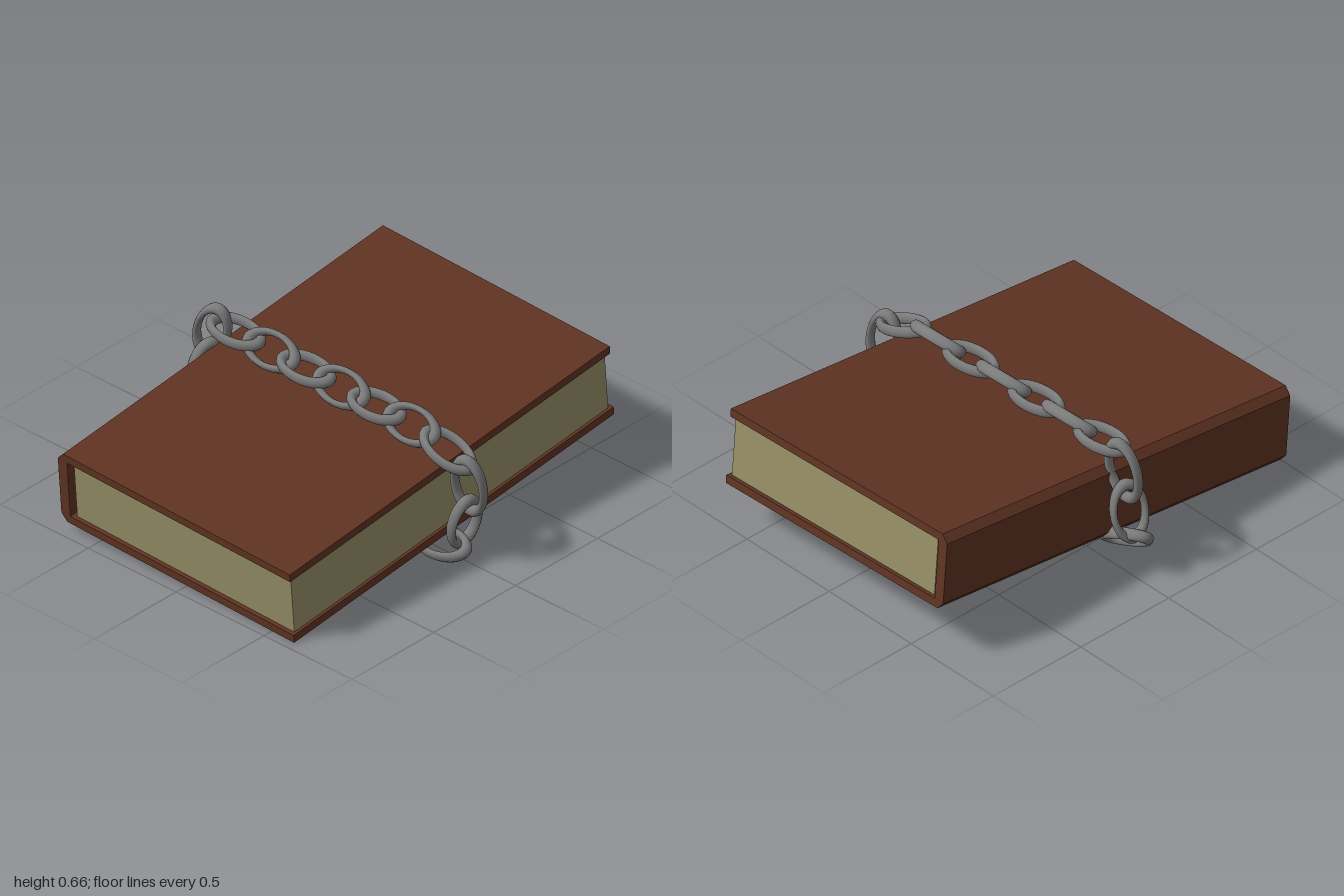
import * as THREE from 'three';

const leather = new THREE.MeshStandardMaterial({ color: 0x5f3322 });
const paper = new THREE.MeshStandardMaterial({ color: 0x958e66 });
const iron = new THREE.MeshStandardMaterial({ color: 0x7a7a7a });

// Closed book: C-shaped cover with a chamfered spine, around a page block
function makeBook() {
  const book = new THREE.Group();
  book.name = 'book';
  const length = 1.968;
  const profile = new THREE.Shape([
    [0.656, -0.18], [0.656, -0.142], [-0.61, -0.142], [-0.61, 0.142],
    [0.656, 0.142], [0.656, 0.18], [-0.63, 0.18], [-0.661, 0.145],
    [-0.661, -0.145], [-0.63, -0.18],
  ].map(([x, y]) => new THREE.Vector2(x, y)));
  const coverGeo = new THREE.ExtrudeGeometry(profile, { depth: length, bevelEnabled: false });
  coverGeo.translate(0, 0, -length / 2);
  const cover = new THREE.Mesh(coverGeo, leather);
  cover.name = 'cover';

  const pages = new THREE.Mesh(new THREE.BoxGeometry(1.23, 0.29, 1.93), paper);
  pages.name = 'pages';
  pages.position.x = 0.027;
  book.add(cover, pages);
  book.position.set(-0.02, 0.32, 0);
  book.rotation.set(0.113, 0, -0.035);
  return book;
}

// One oval link: a squashed ring, long along dir, its face turned to normal
const linkGeo = new THREE.TorusGeometry(0.127, 0.026, 12, 36);
linkGeo.scale(1, 0.56, 1);

function makeLink(center, dir, normal) {
  const link = new THREE.Mesh(linkGeo, iron);
  const x = new THREE.Vector3(...dir).normalize();
  const y = new THREE.Vector3(...normal).cross(x).normalize();
  const z = new THREE.Vector3().crossVectors(x, y);
  link.quaternion.setFromRotationMatrix(new THREE.Matrix4().makeBasis(x, y, z));
  link.position.set(...center);
  link.name = 'chainLink';
  return link;
}

function makeChain() {
  const chain = new THREE.Group();
  chain.name = 'chain';
  const flat = [0, 1, 0.1];
  const rolled = [0, 0.7, 0.72];

  // Run across the top, alternating flat and rolled
  for (let i = 0; i < 6; i++) {
    const x = -0.57 + 0.2 * i;
    const y = 0.592 - 0.028 * (x + 0.57);
    chain.add(makeLink([x, y, 0.022], [1, -0.035, 0], i % 2 ? rolled : flat));
  }

  // Run along the underside, partly sunk in the cover
  for (let i = 0; i < 6; i++) {
    const x = 0.44 - 0.195 * i;
    const y = 0.133 - 0.035 * x;
    chain.add(makeLink([x, y, 0.03], [1, -0.035, 0], i % 2 ? flat : rolled));
  }

  // Links bending around the fore edge and the spine
  const corners = [
    [[0.635, 0.525, 0.02], [0.27, -0.09, 0], [0.3, 1, 0.1]],
    [[0.745, 0.395, 0.01], [-0.02, 0.3, 0.03], [0.15, 0, 1]],
    [[0.7, 0.19, -0.01], [0.07, 0.27, 0.03], [1, -0.25, 0.1]],
    [[0.62, 0.075, 0.04], [1, 0.06, 0], [0, 1, 0.4]],
    [[-0.725, 0.52, 0.0], [0.1, 0.28, 0], [0.2, 0, 1]],
    [[-0.76, 0.33, 0.0], [0.05, 0.27, 0], [1, -0.18, 0.35]],
    [[-0.72, 0.165, 0.02], [0.2, -0.1, 0], [0.3, 0.7, 0.6]],
  ];
  for (const c of corners) chain.add(makeLink(...c));
  return chain;
}

export function createModel() {
  const model = new THREE.Group();
  model.name = 'chainedBook';
  model.add(makeBook(), makeChain());
  return model;
}
